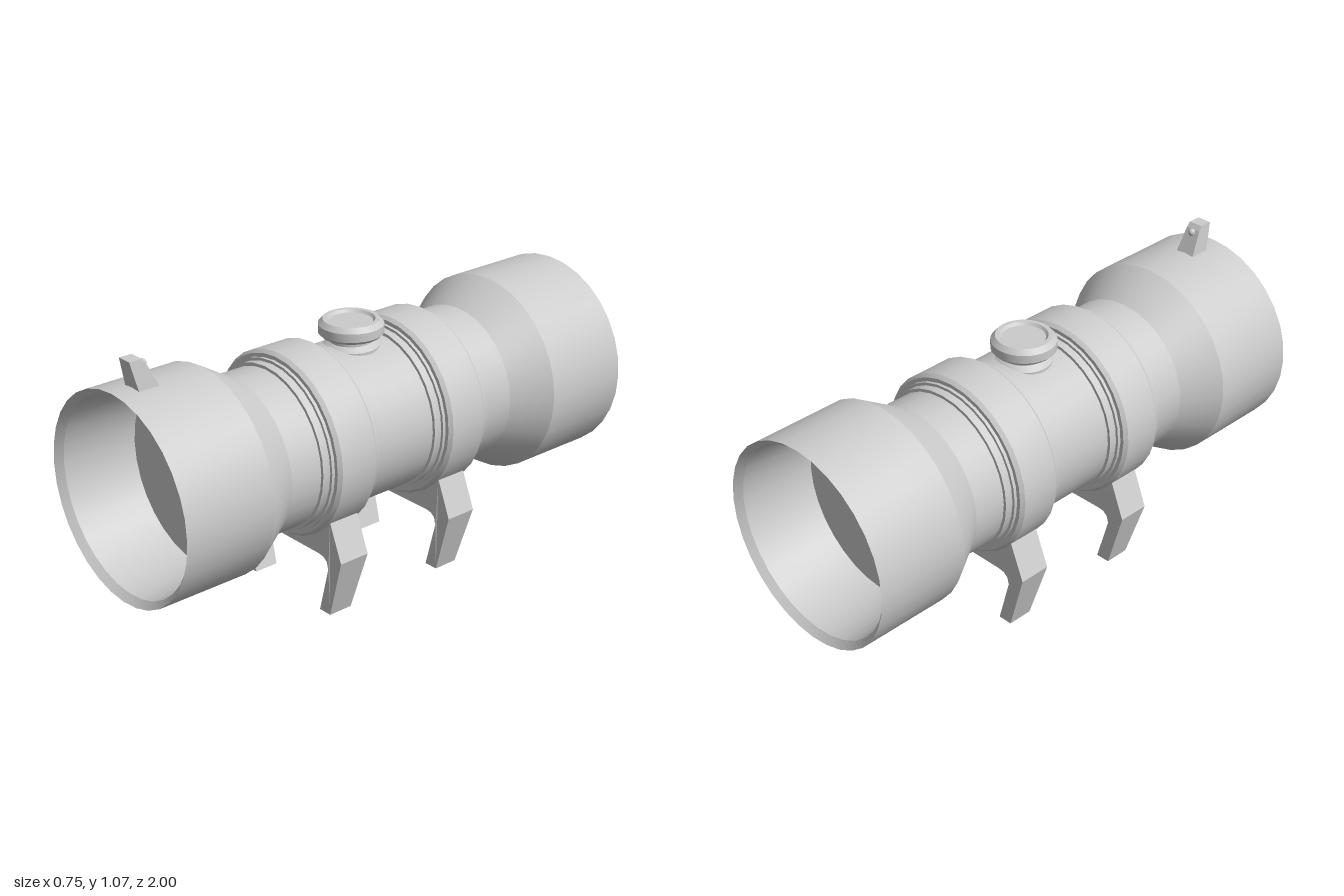
import * as THREE from 'three';
import { toCreasedNormals } from 'three/addons/utils/BufferGeometryUtils.js';

const AXIS_Y = 0.59;   // height of the barrel axis
const RING_Z = 0.255;  // distance of each mounting ring from the middle

export function createModel() {
  const model = new THREE.Group();
  model.name = 'opticalTube';
  const material = new THREE.MeshStandardMaterial({ color: 0xcccccc });

  const add = (name, geometry, parent = model) => {
    const mesh = new THREE.Mesh(geometry, material);
    mesh.name = name;
    parent.add(mesh);
    return mesh;
  };
  // Turned part from [radius, height] pairs, listed upwards along the outside
  const turned = (profile, segments = 32) => toCreasedNormals(
    new THREE.LatheGeometry(profile.map(([r, h]) => new THREE.Vector2(r, h)), segments), 0.4);

  // Barrel: lens recess, bevelled rim, bell and cone at each end, narrow waist between
  const half = [[0, 0.7], [0.333, 0.7], [0.352, 0.975], [0.375, 1], [0.375, 0.65], [0.29, 0.51]];
  const barrel = [...half.map(([r, z]) => [r, -z]), ...half.slice().reverse()];
  add('barrel', turned(barrel).rotateX(Math.PI / 2).translate(0, AXIS_Y, 0));

  // Mounting ring: low flange either side of a chamfered band
  const ringHalf = [[0.285, 0.13], [0.301, 0.13], [0.301, 0.1], [0.311, 0.1], [0.311, 0.088],
    [0.325, 0.088], [0.336, 0.074]];
  const ring = [...ringHalf.map(([r, z]) => [r, -z]), ...ringHalf.slice().reverse()];

  // Forked stand outline: one side, then mirrored across
  const side = [[0.19, 0.232], [0.215, 0.228], [0.232, 0.214], [0.238, 0.185], [0.18, 0],
    [0.235, 0], [0.309, 0.235], [0.252, 0.375]];
  const outline = [...side, ...side.slice().reverse().map(([x, y]) => [-x, y])];
  const standShape = new THREE.Shape(outline.map(([x, y]) => new THREE.Vector2(x, y)));

  for (const end of [1, -1]) {
    const mount = new THREE.Group();
    mount.name = end > 0 ? 'frontMount' : 'rearMount';
    mount.position.z = end * RING_Z;
    model.add(mount);
    add('mountingRing', turned(ring).rotateX(Math.PI / 2).translate(0, AXIS_Y, 0), mount);

    const stand = new THREE.ExtrudeGeometry(standShape, { depth: 0.122, bevelEnabled: false });
    stand.translate(0, 0, -0.061);
    // Legs get thinner towards the feet
    const p = stand.attributes.position;
    for (let i = 0; i < p.count; i++) {
      p.setZ(i, p.getZ(i) * (0.78 + 0.22 * Math.min(1, p.getY(i) / 0.235)));
    }
    add('forkedStand', toCreasedNormals(stand, 0.4), mount);
  }

  // Adjustment knob with a flared neck and dished top
  add('adjustmentKnob', turned([
    [0.1, 0.86], [0.1, 0.872], [0.078, 0.888], [0.078, 0.906], [0.105, 0.908], [0.116, 0.919],
    [0.116, 0.95], [0.1, 0.968], [0.085, 0.968], [0.077, 0.958], [0, 0.958],
  ]));

  // Leaning front sight, narrowing towards the top
  const sightShape = new THREE.Shape([
    [0.916, 0.94], [0.946, 1.065], [0.898, 1.065], [0.884, 1.048], [0.833, 0.94],
  ].map(([z, y]) => new THREE.Vector2(-z, y)));
  const sight = new THREE.ExtrudeGeometry(sightShape, { depth: 0.08, bevelEnabled: false });
  sight.translate(0, 0, -0.04).rotateY(Math.PI / 2);
  const s = sight.attributes.position;
  for (let i = 0; i < s.count; i++) {
    s.setX(i, s.getX(i) * (1 - 0.3 * (s.getY(i) - 0.94) / 0.125));
  }
  sight.computeVertexNormals();
  add('frontSight', sight);

  // Small bead on the back of the sight
  const bead = add('sightBead', new THREE.SphereGeometry(0.014, 12, 8));
  bead.position.set(0, 1.038, 0.878);

  return model;
}
